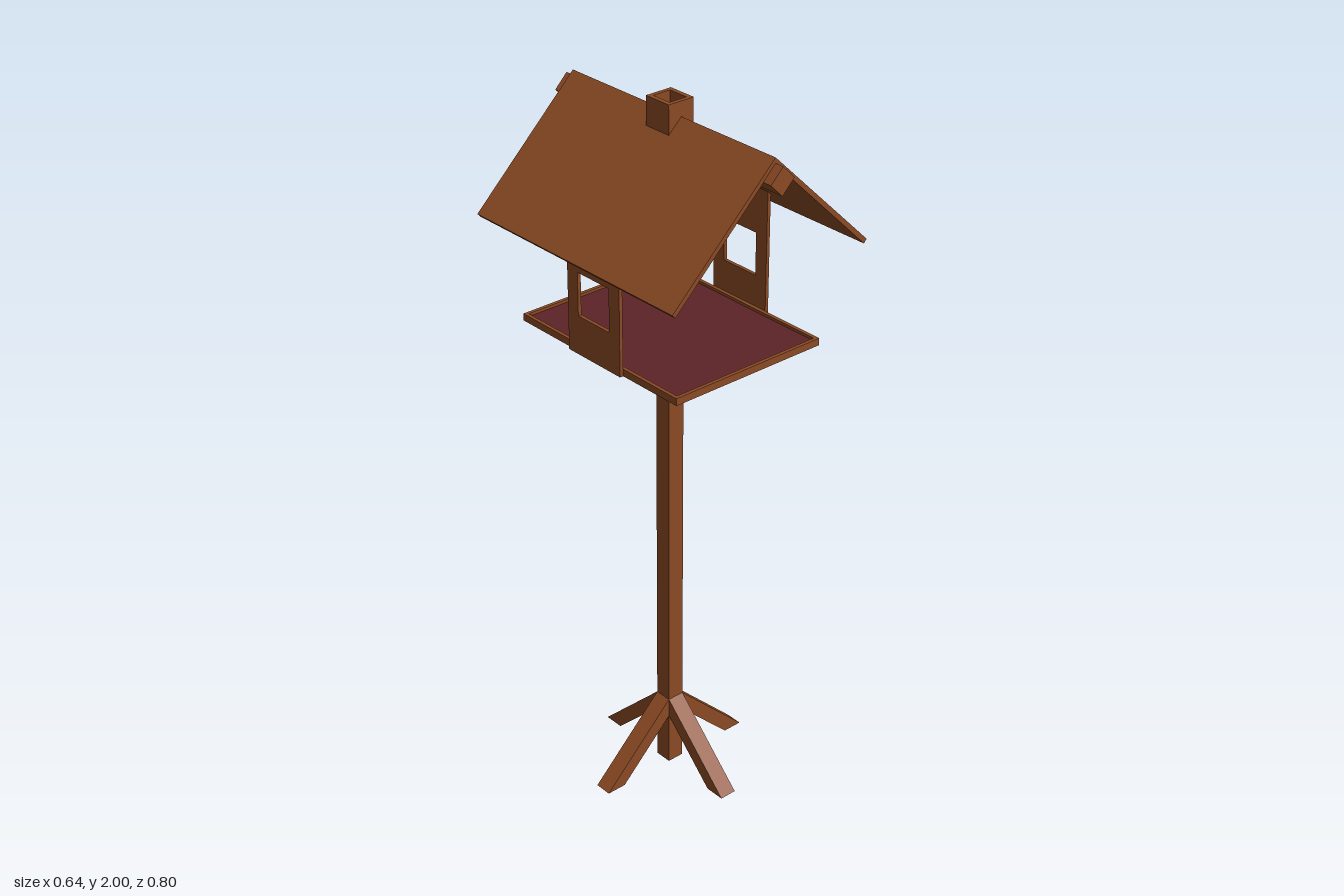
import * as THREE from 'three';

const wood = new THREE.MeshStandardMaterial({ color: 0x8b4a24 });
wood.name = 'brown wood';
const felt = new THREE.MeshStandardMaterial({ color: 0x5c2428 });
felt.name = 'dark red floor';

// Shape from corner points, with an optional hole
function outline(points, hole) {
  const shape = new THREE.Shape(points.map(([x, y]) => new THREE.Vector2(x, y)));
  if (hole) shape.holes.push(new THREE.Path(hole.map(([x, y]) => new THREE.Vector2(x, y))));
  return shape;
}

const rect = (w, y0, y1) => [[-w, y0], [w, y0], [w, y1], [-w, y1]];

// Extrusion centred on its depth
function slab(shape, depth) {
  return new THREE.ExtrudeGeometry(shape, { depth, bevelEnabled: false }).translate(0, 0, -depth / 2);
}

export function createModel() {
  const model = new THREE.Group();
  model.name = 'birdTable';
  const add = (name, geometry, material = wood) => {
    const mesh = new THREE.Mesh(geometry, material);
    mesh.name = name;
    model.add(mesh);
    return mesh;
  };

  // Post and four slanted braces
  add('post', new THREE.BoxGeometry(0.05, 1.356, 0.05).translate(0, 0.678, 0));
  const brace = slab(outline([[0.02, 0.165], [0.19, 0], [0.248, 0], [0.02, 0.222]]), 0.05);
  for (let i = 0; i < 4; i++) add('footBrace' + (i + 1), brace).rotation.y = i * Math.PI / 2;

  // Tray: base board, raised rim and coloured floor
  add('trayBase', new THREE.BoxGeometry(0.48, 0.01, 0.6).translate(0, 1.361, 0));
  const rim = slab(outline(rect(0.24, -0.3, 0.3), rect(0.23, -0.29, 0.29)), 0.02);
  add('trayRim', rim.rotateX(-Math.PI / 2).translate(0, 1.366, 0));
  add('trayFloor', new THREE.BoxGeometry(0.46, 0.002, 0.58).translate(0, 1.367, 0), felt);

  // Side walls with a square window
  const wall = slab(outline(rect(0.1, 1.356, 1.712), rect(0.06, 1.465, 1.585)), 0.01).rotateY(Math.PI / 2);
  for (const s of [1, -1]) add(s > 0 ? 'leftWall' : 'rightWall', wall).position.x = s * 0.245;

  // Two sloping roof boards, mitred at the ridge
  const slope = [[0, 1.943], [0.309, 1.645], [0.318, 1.655], [0, 1.96]];
  for (const s of [1, -1]) {
    const points = slope.map(([x, y]) => [s * x, y]);
    add(s > 0 ? 'leftRoof' : 'rightRoof', slab(outline(points), 0.748));
  }

  // Square ridge beam set on its corner
  add('ridgeBeam', slab(outline([[0, 1.87], [0.038, 1.908], [0, 1.946], [-0.038, 1.908]]), 0.8));

  // Hollow chimney astride the ridge
  const chimney = slab(outline(rect(0.04, -0.042, 0.042), rect(0.027, -0.03, 0.03)), 0.08);
  add('chimney', chimney.rotateX(-Math.PI / 2).translate(0, 1.96, 0));

  return model;
}
